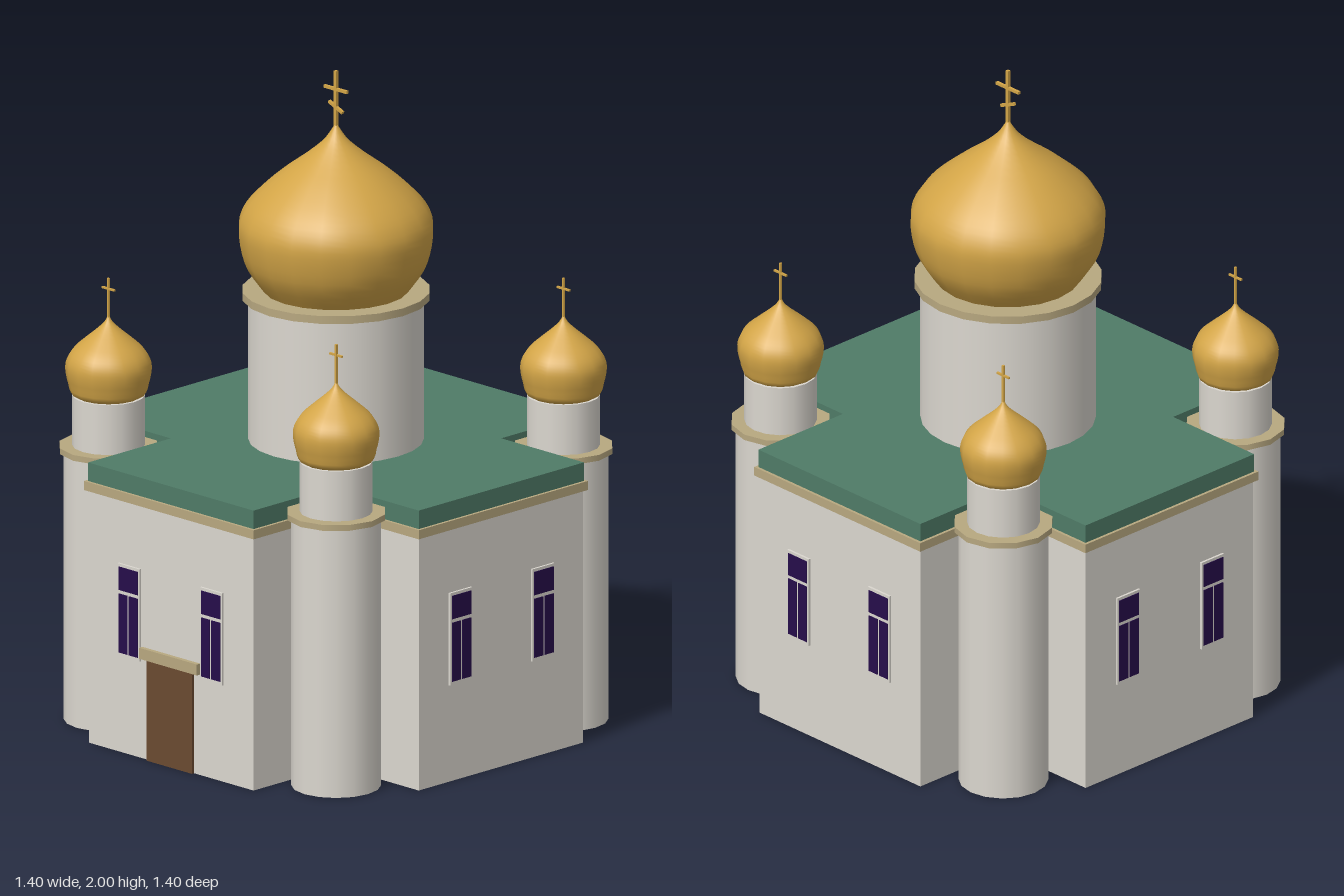
import * as THREE from 'three';

const mat = (name, color, extra = {}) => {
  const m = new THREE.MeshStandardMaterial({ color, ...extra });
  m.name = name;
  return m;
};

export function createModel() {
  const plaster = mat('plaster', 0xdbd7cf);
  const roofGreen = mat('roofGreen', 0x4f7b67);
  const gold = mat('gold', 0xd3a547);
  const trim = mat('trim', 0xb8a880);
  const glass = mat('glass', 0x260d4a);
  const wood = mat('wood', 0x6a4a30);

  const model = new THREE.Group();
  model.name = 'church';

  const add = (parent, name, geo, material, x = 0, y = 0, z = 0) => {
    const mesh = new THREE.Mesh(geo, material);
    mesh.name = name;
    mesh.position.set(x, y, z);
    parent.add(mesh);
    return mesh;
  };
  const box = (parent, name, material, w, h, d, x, y, z) =>
    add(parent, name, new THREE.BoxGeometry(w, h, d), material, x, y, z);
  const drum = (parent, name, material, r, y0, y1, sides) =>
    add(parent, name, new THREE.CylinderGeometry(r, r, y1 - y0, sides), material, 0, (y0 + y1) / 2, 0);

  // Cross-shaped slab: long arms of half-length a and half-width b
  const crossSlab = (name, material, a, b, y0, y1) => {
    const shape = new THREE.Shape([
      [b, -a], [b, -b], [a, -b], [a, b], [b, b], [b, a],
      [-b, a], [-b, b], [-a, b], [-a, -b], [-b, -b], [-b, -a],
    ].map(([x, y]) => new THREE.Vector2(x, y)));
    const geo = new THREE.ExtrudeGeometry(shape, { depth: y1 - y0, bevelEnabled: false });
    geo.rotateX(-Math.PI / 2);
    add(model, name, geo, material, 0, y0, 0);
  };

  // Onion dome from a smooth profile of [radius, height]
  const dome = (parent, name, points, sides) => {
    const curve = new THREE.SplineCurve(points.map(([r, y]) => new THREE.Vector2(r, y)));
    add(parent, name, new THREE.LatheGeometry(curve.getPoints(28), sides), gold);
  };

  // Main body, cornice and flat roof
  crossSlab('walls', plaster, 0.688, 0.343, 0, 0.782);
  crossSlab('cornice', trim, 0.699, 0.354, 0.78, 0.808);
  crossSlab('roof', roofGreen, 0.69, 0.345, 0.808, 0.865);

  // Central drum, dome and cross
  const centre = new THREE.Group();
  centre.name = 'centralTower';
  model.add(centre);
  drum(centre, 'centralDrum', plaster, 0.26, 0.86, 1.305, 24);
  drum(centre, 'centralDrumRing', trim, 0.279, 1.302, 1.326, 20);
  dome(centre, 'centralDome', [
    [0.215, 1.326], [0.268, 1.405], [0.29, 1.5], [0.28, 1.56], [0.242, 1.615],
    [0.17, 1.68], [0.088, 1.742], [0.034, 1.79], [0.004, 1.835],
  ], 20);
  box(centre, 'crossPole', gold, 0.01, 0.18, 0.01, 0, 1.91, 0);
  box(centre, 'crossBar', gold, 0.096, 0.009, 0.009, 0, 1.943, 0);
  box(centre, 'crossSlantedBar', gold, 0.062, 0.009, 0.009, 0, 1.888, 0).rotation.z = -0.4;

  // Four corner towers
  for (const sx of [-1, 1]) for (const sz of [-1, 1]) {
    const tower = new THREE.Group();
    tower.name = 'cornerTower';
    tower.position.set(sx * 0.475, 0, sz * 0.475);
    model.add(tower);
    drum(tower, 'towerShaft', plaster, 0.133, 0, 0.832, 16);
    drum(tower, 'towerRing', trim, 0.149, 0.828, 0.846, 12);
    drum(tower, 'towerDrum', plaster, 0.108, 0.845, 1.0, 16);
    dome(tower, 'towerDome', [
      [0, 0.999], [0.1, 1.0], [0.12, 1.038], [0.128, 1.083], [0.122, 1.115],
      [0.103, 1.143], [0.07, 1.173], [0.035, 1.203], [0.013, 1.225], [0.002, 1.245],
    ], 16);
    box(tower, 'towerCrossPole', gold, 0.007, 0.125, 0.007, 0, 1.2975, 0);
    box(tower, 'towerCrossBar', gold, 0.052, 0.006, 0.006, 0, 1.327, 0);
  }

  // A pair of windows on each of the four faces
  for (let i = 0; i < 4; i++) {
    const side = new THREE.Group();
    side.name = 'faceWindows';
    side.rotation.y = i * Math.PI / 2;
    model.add(side);
    for (const s of [-1, 1]) {
      const x = s * 0.172;
      box(side, 'windowFrame', plaster, 0.092, 0.285, 0.008, x, 0.4405, 0.691);
      box(side, 'windowTopPane', glass, 0.08, 0.072, 0.003, x, 0.538, 0.6955);
      for (const p of [-1, 1])
        box(side, 'windowLowerPane', glass, 0.037, 0.182, 0.003, x + p * 0.0215, 0.4, 0.6955);
    }
  }

  // Front door with lintel
  box(model, 'door', wood, 0.19, 0.312, 0.012, 0, 0.156, 0.691);
  box(model, 'doorLintel', trim, 0.24, 0.034, 0.018, 0, 0.327, 0.693);

  return model;
}
